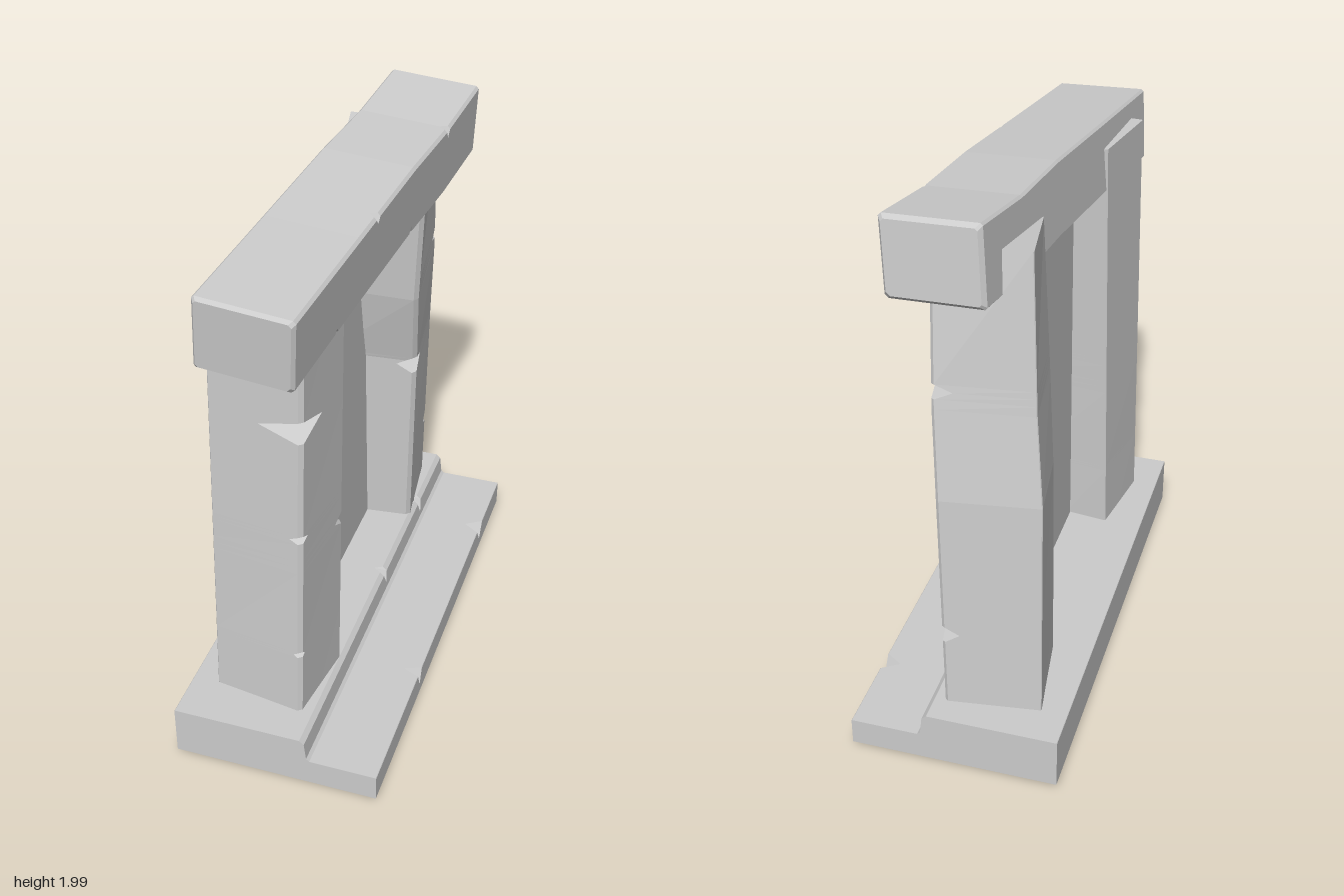
import * as THREE from 'three';

const stone = new THREE.MeshStandardMaterial({ color: 0xcccccc, flatShading: true, side: THREE.DoubleSide });

// Interpolates the corner outline between key sections [t, corners]
function outlineAt(keys, t) {
  let k = 0;
  while (k < keys.length - 2 && t > keys[k + 1][0]) k++;
  const [t0, a] = keys[k], [t1, b] = keys[k + 1];
  const f = (t - t0) / (t1 - t0);
  return a.map((p, i) => p.map((v, j) => v + (b[i][j] - v) * f));
}

// Lofts a stone block with bevelled edges; each chip [corner, t, halfHeight, depthPrev, depthNext]
// widens the bevel of one edge into a V-shaped notch.
function stoneBlock(name, keys, bevels, chips, place) {
  const levels = new Set(keys.map(k => k[0]));
  chips.forEach(([, t, h]) => [t - h, t, t + h].forEach(v => levels.add(v)));
  const rings = [...levels].sort((a, b) => a - b).map(t => {
    const c = outlineAt(keys, t).map(([u, v]) => new THREE.Vector2(u, v));
    const n = c.length;
    return c.flatMap((p, i) => {
      let a = bevels[i], b = bevels[i];
      for (const [corner, tc, h, da, db] of chips) {
        const f = Math.max(0, 1 - Math.abs(t - tc) / h);
        if (corner === i) { a += da * f; b += db * f; }
      }
      return [[c[(i + n - 1) % n], a], [c[(i + 1) % n], b]].map(([q, d]) => {
        const m = q.clone().sub(p).setLength(d).add(p);
        return place(m.x, m.y, t);
      });
    });
  });

  const pos = [];
  const tri = (...pts) => pts.forEach(p => pos.push(...p));
  const n = rings[0].length, last = rings[rings.length - 1];
  for (let k = 0; k < rings.length - 1; k++) {
    for (let i = 0; i < n; i++) {
      const j = (i + 1) % n, lo = rings[k], hi = rings[k + 1];
      tri(lo[i], lo[j], hi[j]);
      tri(lo[i], hi[j], hi[i]);
    }
  }
  for (let i = 1; i < n - 1; i++) {
    tri(rings[0][0], rings[0][i + 1], rings[0][i]);
    tri(last[0], last[i], last[i + 1]);
  }
  const geo = new THREE.BufferGeometry();
  geo.setAttribute('position', new THREE.Float32BufferAttribute(pos, 3));
  geo.computeVertexNormals();
  const mesh = new THREE.Mesh(geo, stone);
  mesh.name = name;
  return mesh;
}

export function createModel() {
  const group = new THREE.Group();
  group.name = 'stoneDoorway';

  // Stepped threshold slab, section in x/y running along z
  const step = [[-0.37, 0.02], [0.37, 0.02], [0.37, 0.12], [0.118, 0.12], [0.108, 0.21], [-0.37, 0.21]];
  group.add(stoneBlock('base', [[-0.88, step], [0.88, step]],
    [0.002, 0.002, 0.002, 0.01, 0.015, 0.002],
    [[2, 0.34, 0.025, 0.06, 0.06], [2, -0.56, 0.04, 0.06, 0.06],
      [4, -0.07, 0.018, 0.045, 0.03], [4, -0.55, 0.02, 0.05, 0.03]],
    (x, y, z) => [x, y, z]));

  // Front pillar, sections in z/x running up y
  group.add(stoneBlock('frontPillar', [
    [0.003, [[0.395, -0.23], [0.705, -0.28], [0.755, 0.05], [0.435, 0.092]]],
    [1.82, [[0.35, -0.2], [0.665, -0.255], [0.705, 0.075], [0.395, 0.108]]],
  ], [0.003, 0.003, 0.014, 0.014],
  [[2, 1.37, 0.04, 0.14, 0.13], [2, 0.955, 0.014, 0.03, 0.03],
    [2, 0.465, 0.01, 0.015, 0.015], [3, 0.845, 0.025, 0.05, 0.05]],
  (z, x, y) => [x, y, z]));

  // Rear pillar, bent inwards toward the top
  group.add(stoneBlock('rearPillar', [
    [0.005, [[-0.75, -0.28], [-0.41, -0.23], [-0.445, 0.095], [-0.795, 0.05]]],
    [0.98, [[-0.7, -0.265], [-0.37, -0.21], [-0.405, 0.12], [-0.745, 0.08]]],
    [1.3, [[-0.66, -0.235], [-0.31, -0.18], [-0.33, 0.14], [-0.7, 0.1]]],
    [1.84, [[-0.6, -0.205], [-0.26, -0.14], [-0.28, 0.175], [-0.61, 0.12]]],
  ], [0.003, 0.003, 0.016, 0.01],
  [[2, 0.96, 0.035, 0.06, 0.07], [3, 1.36, 0.025, 0.06, 0.06], [3, 0.45, 0.03, 0.05, 0.05]],
  (z, x, y) => [x, y - 0.12 * (z + 0.42) - 0.03 * x, z]));

  // Lintel, sections in x/y from [z, bottom, top, inset]; inset softens the ends
  const axis = z => 0.012 - 0.079 * z;
  const lintelKeys = [
    [-0.745, 1.726, 1.99, 0.012], [-0.73, 1.724, 1.99, 0], [-0.42, 1.69, 1.952, 0],
    [-0.1, 1.683, 1.942, 0], [0.36, 1.65, 1.905, 0], [0.838, 1.608, 1.868, 0], [0.85, 1.607, 1.867, 0.01],
  ].map(([z, lo, hi, s]) => {
    const l = axis(z) - 0.165 + s, r = axis(z) + 0.165 - s;
    return [z, [[l, lo + s], [r, lo + s], [r, hi - s], [l, hi - s]]];
  });
  group.add(stoneBlock('lintel', lintelKeys, [0.008, 0.012, 0.01, 0.008],
    [[2, 0.22, 0.015, 0.02, 0.02], [2, -0.42, 0.015, 0.025, 0.025],
      [1, -0.1, 0.015, 0.025, 0.025], [1, 0.53, 0.012, 0.015, 0.015]],
    (x, y, z) => [x + 0.07 * (y - 1.87), y - 0.05 * (x - axis(z)), z + 0.09 * (y - 1.8) + 0.07 * x]));

  // Thin panel filling the opening
  const panel = new THREE.Mesh(new THREE.PlaneGeometry(1, 1.65), stone);
  panel.name = 'doorPanel';
  panel.rotation.y = Math.PI / 2;
  panel.position.set(-0.075, 0.925, 0);
  group.add(panel);

  return group;
}
